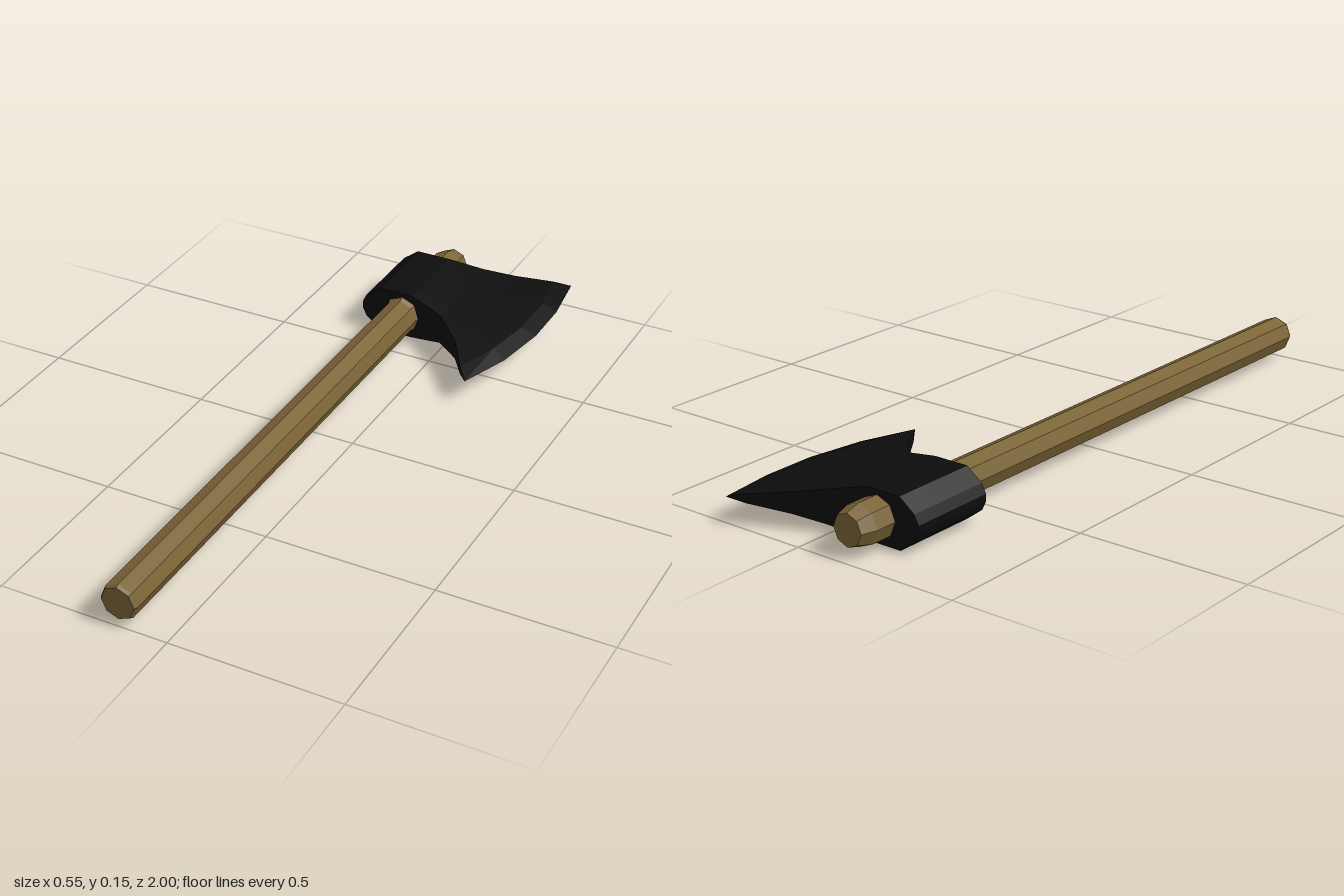
import * as THREE from 'three';

const AXIS_Y = 0.073;

// Closed loft: each row is a list of [x, z, halfThickness] from back to front,
// mirrored above and below the middle plane.
function loftMirrored(rows) {
  const rings = rows.map((row) => [
    ...row.map(([x, z, h]) => [x, h, z]),
    ...[...row].reverse().map(([x, z, h]) => [x, -h, z]),
  ]);
  const positions = [];
  const n = rings[0].length;
  for (let i = 0; i < rings.length - 1; i++) {
    for (let j = 0; j < n; j++) {
      const k = (j + 1) % n;
      const a = rings[i][j], b = rings[i][k], c = rings[i + 1][k], d = rings[i + 1][j];
      positions.push(...a, ...b, ...c, ...a, ...c, ...d);
    }
  }
  const geometry = new THREE.BufferGeometry();
  geometry.setAttribute('position', new THREE.Float32BufferAttribute(positions, 3));
  geometry.computeVertexNormals();
  return geometry;
}

// Straight row of five points across the head
function straightRow(x, zBack, zFront, h, hEnd = h) {
  return [0, 0.34, 0.6, 0.82, 1].map((t) => [
    x, THREE.MathUtils.lerp(zBack, zFront, t), t === 0 || t === 1 ? hEnd : h,
  ]);
}

function createHandle() {
  // Eight-sided shaft with a swollen, chamfered end beyond the head
  const profile = [
    [0, -1], [0.049, -1], [0.054, -0.99], [0.054, 0.585], [0.059, 0.6],
    [0.059, 0.925], [0.046, 0.97], [0, 0.97],
  ].map(([r, y]) => new THREE.Vector2(r, y));
  const geometry = new THREE.LatheGeometry(profile, 8);
  geometry.rotateX(-Math.PI / 2);
  const handle = new THREE.Mesh(
    geometry,
    new THREE.MeshStandardMaterial({ color: 0x7a6335, flatShading: true })
  );
  handle.name = 'handle';
  handle.position.set(-0.141, AXIS_Y, 0);
  return handle;
}

function createHead() {
  const rows = [
    // Rounded poll and socket
    straightRow(-0.276, -0.86, -0.6, 0),
    straightRow(-0.276, -0.86, -0.6, 0.01),
    straightRow(-0.263, -0.86, -0.6, 0.037),
    straightRow(-0.215, -0.86, -0.6, 0.073),
    straightRow(-0.108, -0.86, -0.6, 0.073),
    // Flaring cheeks
    straightRow(0, -0.892, -0.573, 0.051, 0.048),
    straightRow(0.09, -0.928, -0.487, 0.037, 0.03),
    // Start of the bevel
    [[0.2, -0.978, 0.013], [0.225, -0.83, 0.018], [0.225, -0.67, 0.018],
      [0.2, -0.52, 0.018], [0.152, -0.39, 0.013]],
    // Cutting edge
    [[0.25, -1, 0], [0.272, -0.83, 0], [0.272, -0.67, 0], [0.245, -0.5, 0], [0.19, -0.34, 0]],
  ];
  const head = new THREE.Mesh(
    loftMirrored(rows),
    new THREE.MeshStandardMaterial({ color: 0x0d0d0d, flatShading: true })
  );
  head.name = 'axeHead';
  head.position.y = AXIS_Y;
  return head;
}

export function createModel() {
  const group = new THREE.Group();
  group.name = 'axe';
  group.add(createHandle(), createHead());
  return group;
}
